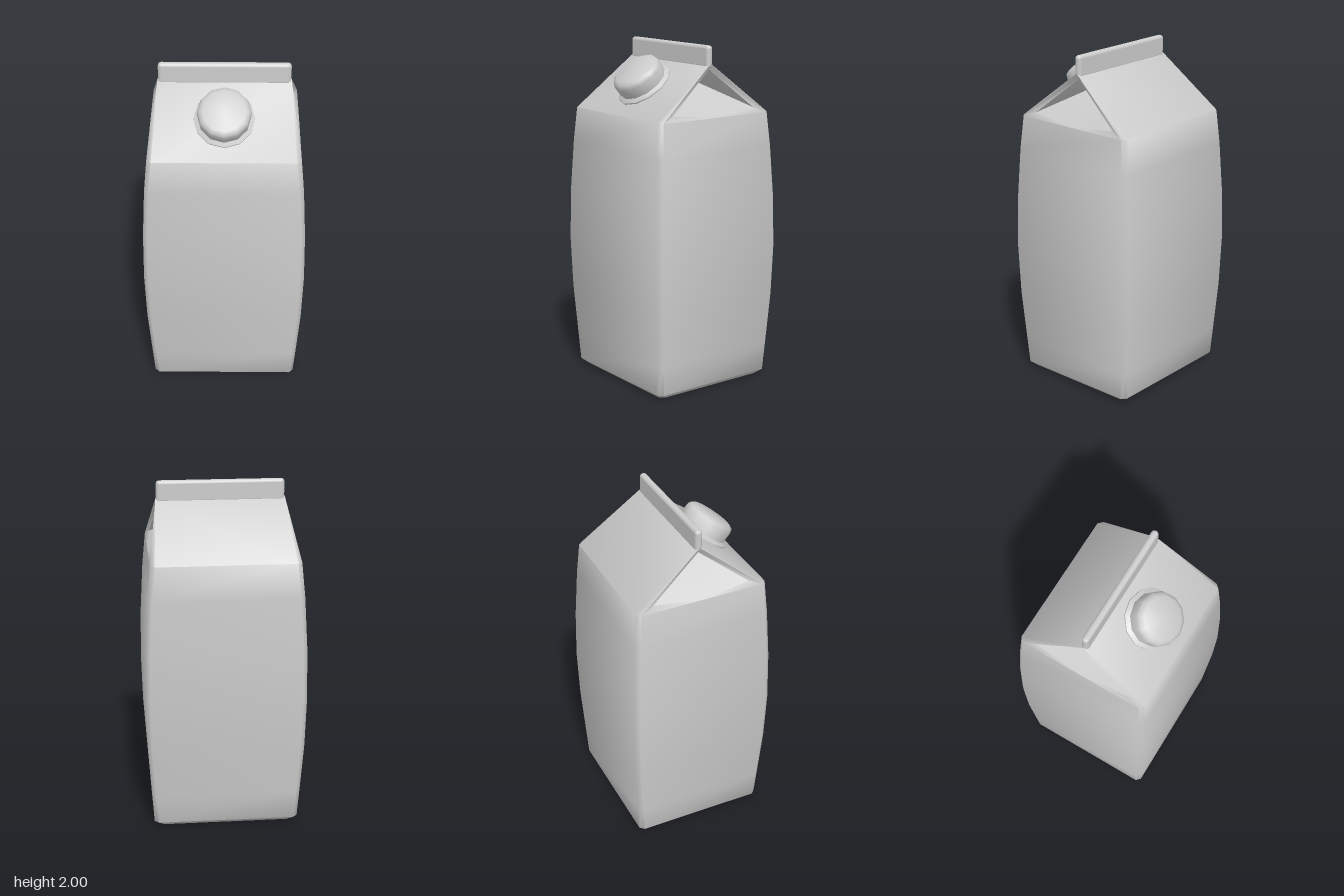
import * as THREE from 'three';
import { toCreasedNormals } from 'three/addons/utils/BufferGeometryUtils.js';
import { RoundedBoxGeometry } from 'three/addons/geometries/RoundedBoxGeometry.js';

const CHAMFER = 0.025;

// Height, half width, half depth of the bulging body
const RINGS = [
  [0, 0.39, 0.36], [0.03, 0.425, 0.395], [0.2, 0.437, 0.405], [0.5, 0.457, 0.423],
  [0.8, 0.465, 0.432], [1.1, 0.46, 0.426], [1.4, 0.444, 0.41], [1.6, 0.425, 0.395],
];

// Rectangle with cut corners
function ring([y, x, z]) {
  const a = x - CHAMFER, b = z - CHAMFER;
  return [[x, b], [a, z], [-a, z], [-x, b], [-x, -b], [-a, -z], [a, -z], [x, -b]]
    .map(([px, pz]) => [px, y, pz]);
}

function cartonGeometry() {
  const positions = [];
  const tri = (a, b, c, flip = false) => positions.push(...a, ...(flip ? c : b), ...(flip ? b : c));

  // Walls
  const rings = RINGS.map(ring);
  for (let k = 0; k < rings.length - 1; k++) {
    for (let i = 0; i < 8; i++) {
      const j = (i + 1) % 8;
      tri(rings[k][j], rings[k][i], rings[k + 1][i]);
      tri(rings[k][j], rings[k + 1][i], rings[k + 1][j]);
    }
  }

  // Base
  for (let i = 1; i < 7; i++) tri(rings[0][0], rings[0][i], rings[0][i + 1]);

  // Gable: sloping panels front and back, inward folds on each side
  const [y, X, Z] = RINGS[RINGS.length - 1];
  for (const t of [1, -1]) {
    const eave = s => [s * (X - CHAMFER), y, t * Z];
    const ridge = s => [s * 0.372, 1.9, 0];
    tri(eave(-1), eave(1), ridge(1), t < 0);
    tri(eave(-1), ridge(1), ridge(-1), t < 0);

    for (const s of [1, -1]) {
      const flip = s * t < 0;
      const corner = [s * X, y, t * (Z - CHAMFER)];
      const middle = [s * X, y, 0];
      const foldCorner = [s * 0.405, 1.632, t * 0.29];
      const underRidge = [s * 0.355, 1.865, 0];
      const pocket = [s * 0.1, 1.81, 0];
      // Thickness of the panel edge
      tri(eave(s), corner, ridge(s), flip);
      tri(corner, foldCorner, underRidge, flip);
      tri(corner, underRidge, ridge(s), flip);
      // Folded flap and the triangle beneath it
      tri(foldCorner, pocket, underRidge, flip);
      tri(corner, middle, foldCorner, flip);
      tri(foldCorner, middle, pocket, flip);
    }
  }

  const geometry = new THREE.BufferGeometry();
  geometry.setAttribute('position', new THREE.Float32BufferAttribute(positions, 3));
  return toCreasedNormals(geometry, 1.0);
}

export function createModel() {
  const group = new THREE.Group();
  group.name = 'carton';
  const grey = new THREE.MeshStandardMaterial({ color: 0xcccccc });
  grey.name = 'light grey card';

  const add = (name, geometry) => {
    const mesh = new THREE.Mesh(geometry, grey);
    mesh.name = name;
    group.add(mesh);
    return mesh;
  };

  add('cartonBody', cartonGeometry());

  // Sealed fin along the ridge
  const fin = add('topSeal', new RoundedBoxGeometry(0.74, 0.13, 0.042, 2, 0.02));
  fin.position.y = 1.935;

  // Screw cap with flange, square to the front roof panel
  const profile = [
    [0.17, -0.01], [0.17, 0.008], [0.147, 0.022], [0.15, 0.085],
    [0.143, 0.108], [0.12, 0.122], [0, 0.125],
  ].map(([r, h]) => new THREE.Vector2(r, h));
  const cap = add('screwCap', toCreasedNormals(new THREE.LatheGeometry(profile, 12), 0.9));
  cap.position.set(0, 1.756, 0.19);
  cap.rotation.x = Math.atan2(0.3, 0.395);

  return group;
}
